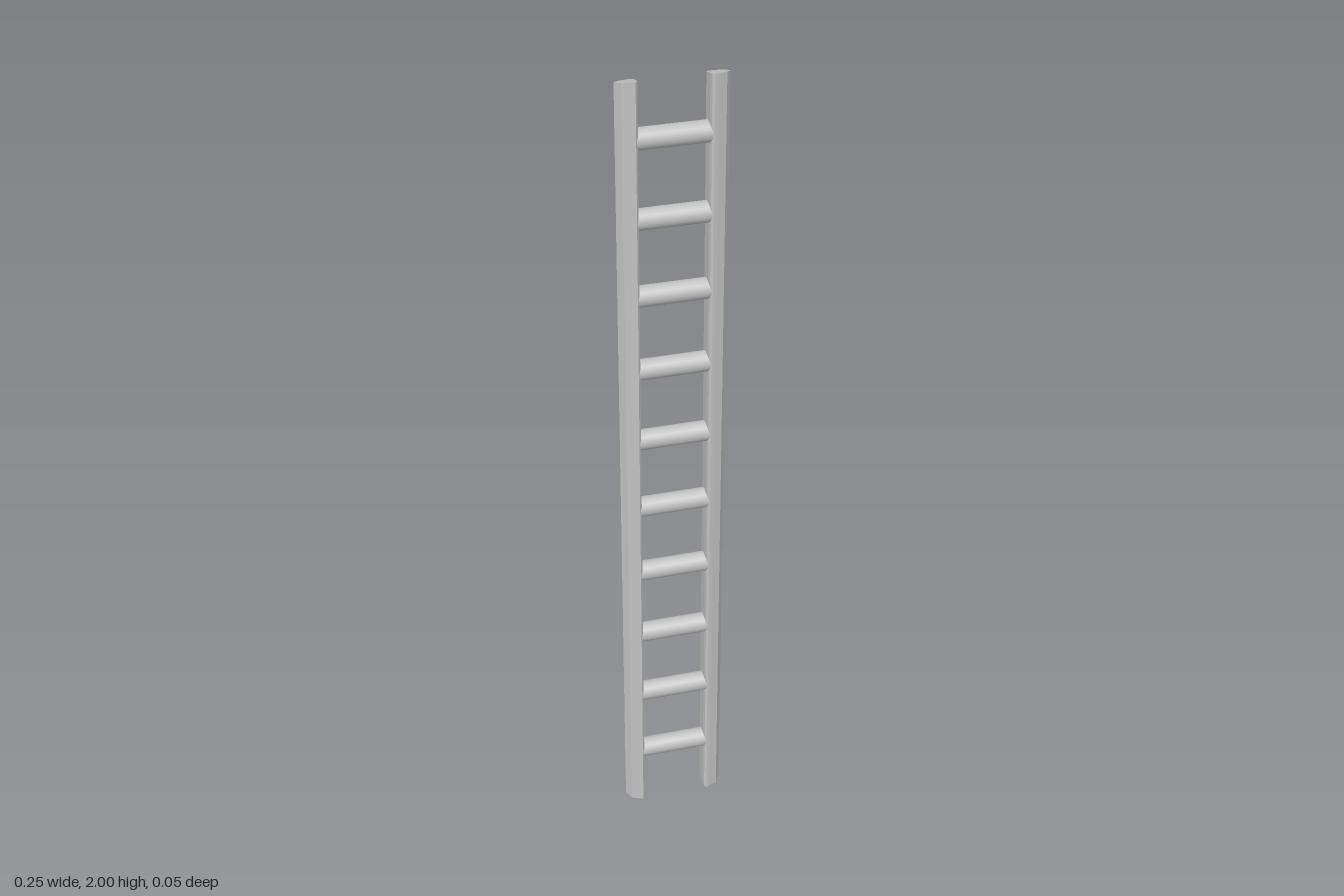
import * as THREE from 'three';

const HEIGHT = 2;
const HALF_DEPTH = 0.026;
const END_SLOPE = 0.015; // how much lower the rail tops are at the back

// Rail cross-section as [x, z]: flat inside, rounded outside
const PROFILE = [
  [0.078, -0.019], [0.084, -0.026], [0.09, -0.026], [0.113, -0.019], [0.125, -0.001],
  [0.113, 0.017], [0.093, 0.024], [0.085, 0.026], [0.08, 0.021], [0.078, 0.012],
];

function railGeometry(side) {
  const shape = new THREE.Shape(PROFILE.map(([x, z]) => new THREE.Vector2(side * x, -z)));
  const geometry = new THREE.ExtrudeGeometry(shape, { depth: HEIGHT, bevelEnabled: false });
  geometry.rotateX(-Math.PI / 2);
  // Cut both ends at a slant, longest at the front
  const pos = geometry.attributes.position;
  for (let i = 0; i < pos.count; i++) {
    const cut = END_SLOPE * (HALF_DEPTH - pos.getZ(i)) / (2 * HALF_DEPTH);
    pos.setY(i, pos.getY(i) > HEIGHT / 2 ? HEIGHT - cut : cut);
  }
  geometry.computeVertexNormals();
  return geometry;
}

export function createModel() {
  const ladder = new THREE.Group();
  ladder.name = 'ladder';
  const metal = new THREE.MeshStandardMaterial({ color: 0xc2c2c2 });
  metal.name = 'light grey metal';

  // Side rails
  for (const [name, side] of [['leftRail', 1], ['rightRail', -1]]) {
    const rail = new THREE.Mesh(railGeometry(side), metal);
    rail.name = name;
    ladder.add(rail);
  }

  // Ten round rungs, ending inside the rails
  const rungGeometry = new THREE.CylinderGeometry(0.0245, 0.0245, 0.17, 24);
  rungGeometry.rotateZ(Math.PI / 2);
  for (let i = 0; i < 10; i++) {
    const rung = new THREE.Mesh(rungGeometry, metal);
    rung.name = `rung${i + 1}`;
    rung.position.y = 0.157 + i * 0.1893;
    ladder.add(rung);
  }
  return ladder;
}
